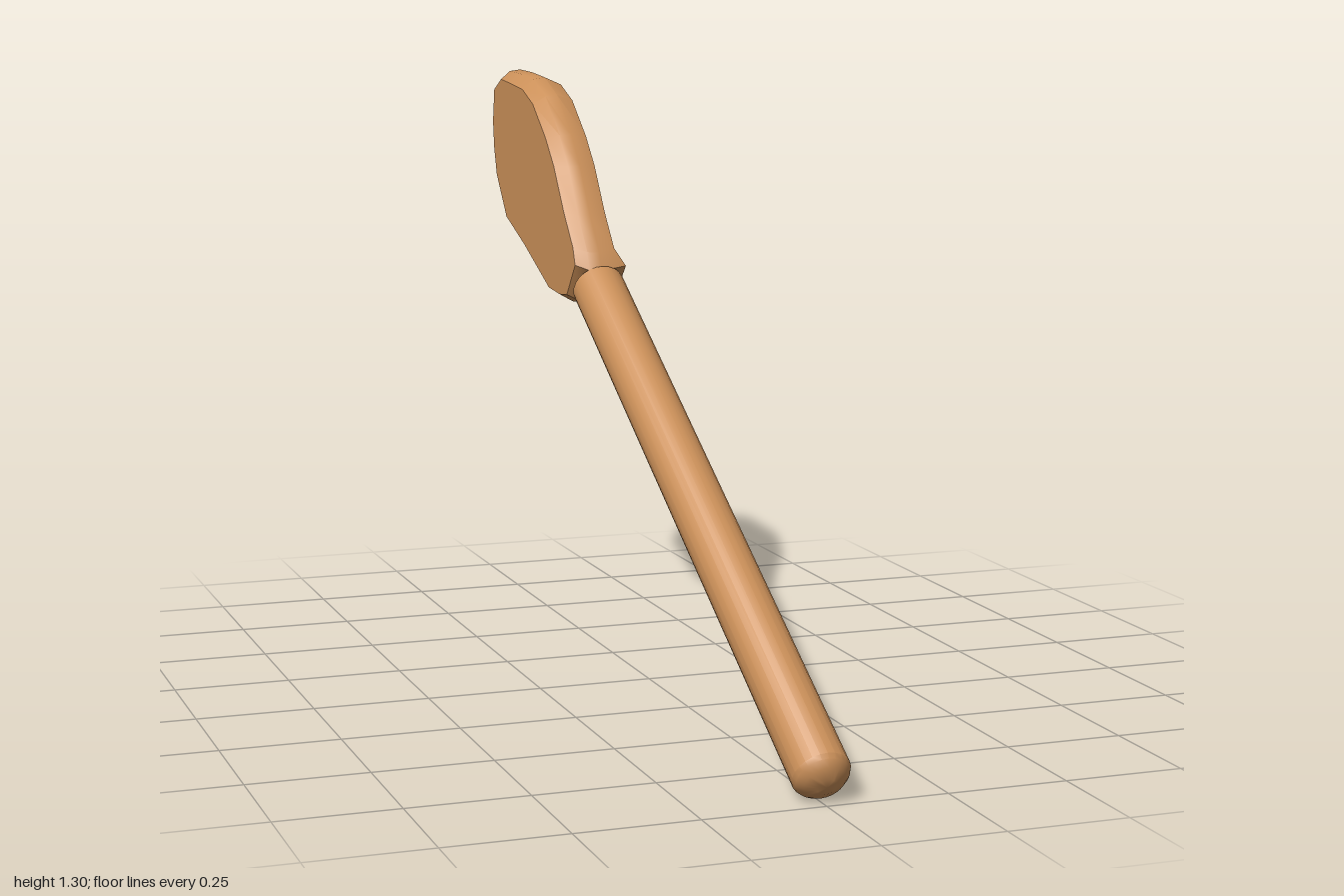
import * as THREE from 'three';
import { toCreasedNormals } from 'three/addons/utils/BufferGeometryUtils.js';

const wood = new THREE.MeshStandardMaterial({ color: 0xcb9059 });
wood.name = 'wood';

// Bowl outline as [z, y], from the neck over the top edge, round the tip and back
const outline = [
  [-0.30, 0.87], [-0.315, 0.91], [-0.38, 0.987], [-0.453, 1.094], [-0.517, 1.163], [-0.624, 1.249],
  [-0.72, 1.286], [-0.82, 1.294], [-0.919, 1.297], [-0.983, 1.265], [-1.0, 1.18], [-0.994, 1.11],
  [-0.972, 1.035], [-0.881, 0.923], [-0.71, 0.864], [-0.506, 0.789], [-0.42, 0.785], [-0.365, 0.792],
];
const centre = [-0.76, 1.09];

// Ring of points: outline moved inwards by a distance, at depth x (number or rule)
function ring(inset, x) {
  return outline.map(([z, y], i) => {
    const dz = centre[0] - z, dy = centre[1] - y;
    const k = inset / Math.hypot(dz, dy);
    return [typeof x === 'function' ? x(z, y, i) : x, y + dy * k, z + dz * k];
  });
}

// Ring of points: outline shrunk around the centre
function shrunk(scale, x) {
  return outline.map(([z, y]) => [
    x, centre[1] + (y - centre[1]) * scale, centre[0] + (z - centre[0]) * scale,
  ]);
}

// Skin between consecutive rings, skipping collapsed triangles
function loft(rings) {
  const pos = [];
  const same = (p, q) => Math.hypot(p[0] - q[0], p[1] - q[1], p[2] - q[2]) < 1e-6;
  const tri = (a, b, c) => {
    if (!same(a, b) && !same(b, c) && !same(a, c)) pos.push(...a, ...b, ...c);
  };
  for (let r = 0; r < rings.length - 1; r++) {
    const a = rings[r], b = rings[r + 1];
    for (let i = 0; i < a.length; i++) {
      const j = (i + 1) % a.length;
      tri(a[i], b[i], a[j]);
      tri(b[i], b[j], a[j]);
    }
  }
  const geo = new THREE.BufferGeometry();
  geo.setAttribute('position', new THREE.Float32BufferAttribute(pos, 3));
  geo.computeVertexNormals();
  return geo;
}

function part(name, geo) {
  const mesh = new THREE.Mesh(geo, wood);
  mesh.name = name;
  return mesh;
}

export function createModel() {
  const spoon = new THREE.Group();
  spoon.name = 'woodenSpoon';

  // Handle: round stick with a blunt domed end
  const start = new THREE.Vector3(0.003, 0.052, 0.965);
  const end = new THREE.Vector3(-0.005, 0.83, -0.33);
  const axis = end.clone().sub(start);
  const profile = [
    [0, -0.034], [0.02, -0.033], [0.042, -0.022], [0.054, -0.01], [0.059, 0],
    [0.059, axis.length()], [0, axis.length()],
  ].map(([r, y]) => new THREE.Vector2(r, y));
  const handle = part('handle', toCreasedNormals(new THREE.LatheGeometry(profile, 24), 0.5));
  handle.position.copy(start);
  handle.quaternion.setFromUnitVectors(new THREE.Vector3(0, 1, 0), axis.normalize());
  spoon.add(handle);

  // Rim rises a little along the lower edge towards the neck
  const rimX = (z, y) => (y < 0.9 && z > -0.75 ? 0.033 + 0.05 * Math.max(0, z + 0.75) : 0.033);
  const rim = ring(0.018, rimX);

  // Bowl shell: flat back, rounded side wall up to the rim
  const shell = loft([shrunk(0, -0.062), ring(0.028, -0.062), ring(0.004, -0.035), ring(0, -0.008), rim]);
  spoon.add(part('bowlShell', toCreasedNormals(shell, 0.6)));

  // Bowl hollow: faceted walls down to a small floor
  spoon.add(part('bowlHollow', loft([rim, shrunk(0.36, -0.03), shrunk(0, -0.038)])));

  return spoon;
}
